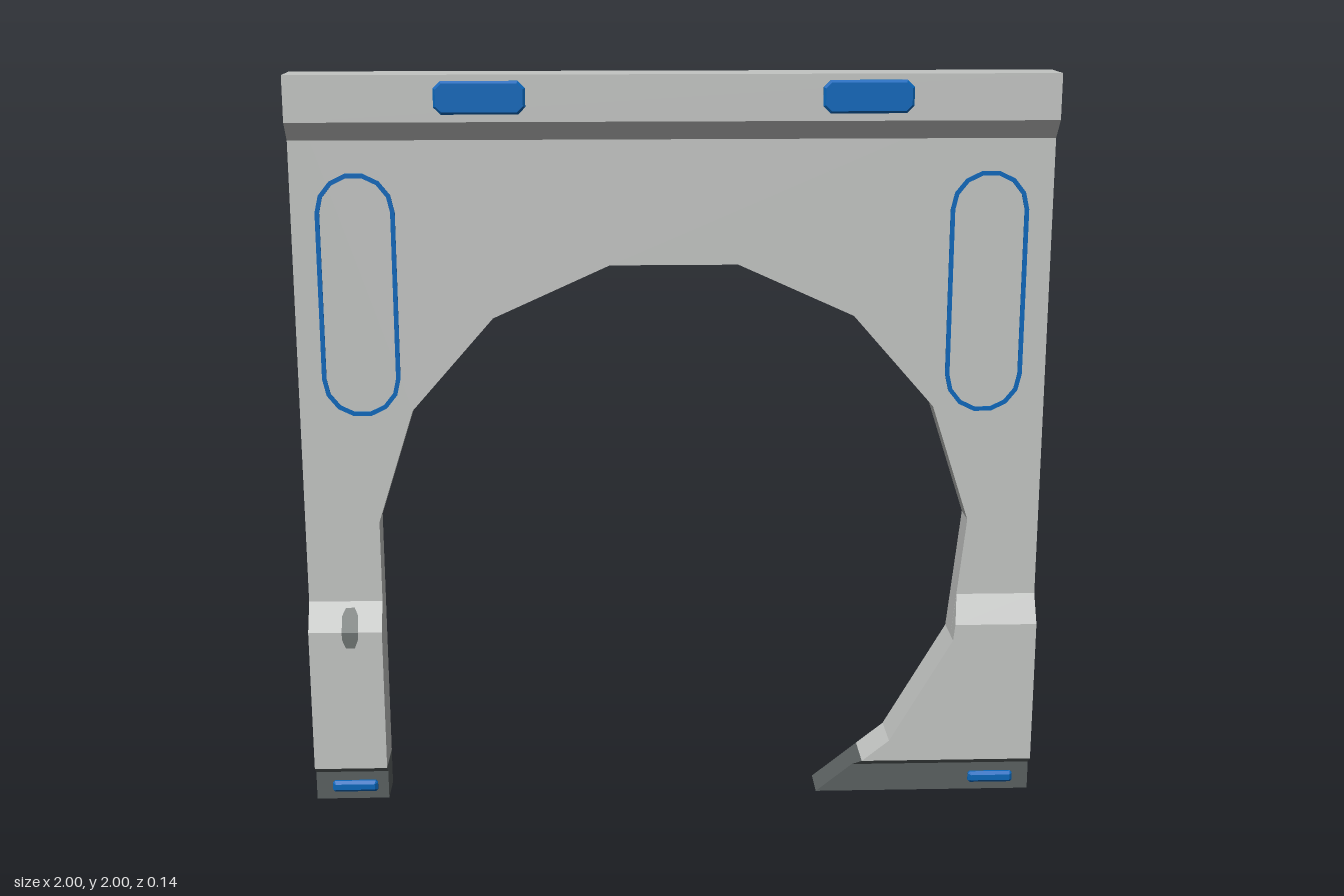
import * as THREE from 'three';

const mat = (name, color) => {
  const m = new THREE.MeshStandardMaterial({ color });
  m.name = name;
  return m;
};

const BACK = -0.07, FACE = 0.015, PROUD = 0.06;

// Stack of rectangular sections. rows: [y, xMin, xMax, zFront].
// sideMats gives the material index of the xMin, front, xMax and back sides; caps use 0.
function loft(rows, zBack, sideMats = [0, 0, 0, 0]) {
  const pos = [];
  const geo = new THREE.BufferGeometry();
  const quad = (a, b, c, d, m) => {
    geo.addGroup(pos.length / 3, 6, m);
    pos.push(...a, ...b, ...c, ...a, ...c, ...d);
  };
  const rings = rows.map(([y, x0, x1, z]) =>
    [[x0, y, zBack], [x0, y, z], [x1, y, z], [x1, y, zBack]]);
  for (let r = 0; r + 1 < rings.length; r++) {
    const lo = rings[r], up = rings[r + 1];
    for (let i = 0; i < 4; i++) {
      const j = (i + 1) % 4;
      quad(lo[i], lo[j], up[j], up[i], sideMats[i]);
    }
  }
  const b = rings[0], t = rings[rings.length - 1];
  quad(b[3], b[2], b[1], b[0], 0);
  quad(t[0], t[1], t[2], t[3], 0);
  geo.setAttribute('position', new THREE.Float32BufferAttribute(pos, 3));
  geo.computeVertexNormals();
  return geo;
}

const toShape = pts => new THREE.Shape(pts.map(p => new THREE.Vector2(p[0], p[1])));

// Upright stadium outline with faceted ends
function stadium(radius, halfStraight, n = 7) {
  const pts = [];
  for (const end of [0, 1]) {
    for (let i = 0; i <= n; i++) {
      const a = Math.PI * (end + i / n);
      pts.push([radius * Math.cos(a), radius * Math.sin(a) + (end ? -halfStraight : halfStraight)]);
    }
  }
  return pts;
}

// Pad with clipped corners and a bevelled front, starting at z = 0
function pad(w, h, clip, depth, bevel) {
  const x = w / 2 - bevel, y = h / 2 - bevel;
  const geo = new THREE.ExtrudeGeometry(toShape([
    [-x + clip, -y], [x - clip, -y], [x, -y + clip], [x, y - clip],
    [x - clip, y], [-x + clip, y], [-x, y - clip], [-x, -y + clip],
  ]), { depth: depth - bevel, bevelEnabled: true, bevelSize: bevel, bevelThickness: bevel, bevelSegments: 1 });
  return geo;
}

export function createModel() {
  const group = new THREE.Group();
  const body = mat('lightGrey', 0xc2c4c2);
  const dark = mat('darkGrey', 0x5a6060);
  const slotGrey = mat('slotGrey', 0x6c7270);
  const blue = mat('blue', 0x0b67ba);

  const add = (name, geo, material, x = 0, y = 0, z = 0) => {
    const mesh = new THREE.Mesh(geo, material);
    mesh.name = name;
    mesh.position.set(x, y, z);
    group.add(mesh);
  };

  // Main panel with the faceted opening, above the feet
  const panel = new THREE.ExtrudeGeometry(toShape([
    [-1, 0.1], [-0.8, 0.1], [-0.8, 0.8], [-0.7, 1.11], [-0.48, 1.36], [-0.17, 1.5],
    [0.17, 1.5], [0.48, 1.36], [0.7, 1.11], [0.805, 0.79], [0.77, 0.455], [0.6, 0.16],
    [0.525, 0.1], [1, 0.1], [1, 2], [-1, 2],
  ]), { depth: FACE - BACK, bevelEnabled: false });
  add('archPanel', panel, body, 0, 0, BACK);

  // Raised rail along the top
  add('topRail', loft([[1.83, -1, 1, FACE], [1.88, -1, 1, PROUD], [2, -1, 1, PROUD]], FACE), [body]);

  // Thickened lower legs
  add('rightLeg', loft([
    [0.1, -1, -0.8, PROUD], [0.5, -1, -0.8, PROUD], [0.575, -1, -0.8, FACE],
  ], FACE), [body]);
  add('leftLeg', loft([
    [0.1, 0.525, 1, PROUD], [0.16, 0.6, 1, PROUD], [0.455, 0.77, 1, PROUD],
    [0.5, 0.775, 1, PROUD], [0.575, 0.783, 1, FACE],
  ], FACE), [body]);

  // Feet: dark on the front and the inner side
  add('rightFoot', loft([
    [0, -1, -0.8, 0.035], [0.08, -1, -0.8, 0.035], [0.1, -1, -0.8, PROUD],
  ], BACK, [0, 1, 1, 0]), [body, dark]);
  add('leftFoot', loft([
    [0, 0.4, 1, 0.035], [0.08, 0.5, 1, 0.035], [0.1, 0.525, 1, PROUD],
  ], BACK, [1, 1, 0, 0]), [body, dark]);

  // Slot across the crease of the right leg, in two flat halves
  const lower = new THREE.ShapeGeometry(toShape([
    [-0.022, 0.5], [-0.022, 0.48], [-0.012, 0.455], [0.012, 0.455], [0.022, 0.48], [0.022, 0.5],
  ]));
  const upper = new THREE.ShapeGeometry(toShape([
    [0.022, 0.5], [0.022, 0.54], [0.012, 0.56], [-0.012, 0.56], [-0.022, 0.54], [-0.022, 0.5],
  ]));
  const p = upper.attributes.position;
  for (let i = 0; i < p.count; i++) p.setZ(i, -(p.getY(i) - 0.5) * 0.6);
  upper.computeVertexNormals();
  add('slotLower', lower, slotGrey, -0.887, 0, PROUD + 0.002);
  add('slotUpper', upper, slotGrey, -0.887, 0, PROUD + 0.002);

  // Blue details on both sides
  const ring = toShape(stadium(0.104, 0.222));
  ring.holes.push(new THREE.Path(stadium(0.092, 0.222).map(q => new THREE.Vector2(q[0], q[1]))));
  const ringGeo = new THREE.ExtrudeGeometry(ring, { depth: 0.003, bevelEnabled: false });
  const topPad = pad(0.235, 0.085, 0.015, 0.01, 0.006);
  const footPad = pad(0.125, 0.032, 0.001, 0.014, 0.008);
  for (const [side, s] of [['left', 1], ['right', -1]]) {
    add(side + 'OvalLine', ringGeo, blue, s * 0.833, 1.421, FACE);
    add(side + 'TopPad', topPad, blue, s * 0.5, 1.942, PROUD);
    add(side + 'FootPad', footPad, blue, s * 0.892, 0.039, 0.035);
  }
  return group;
}
